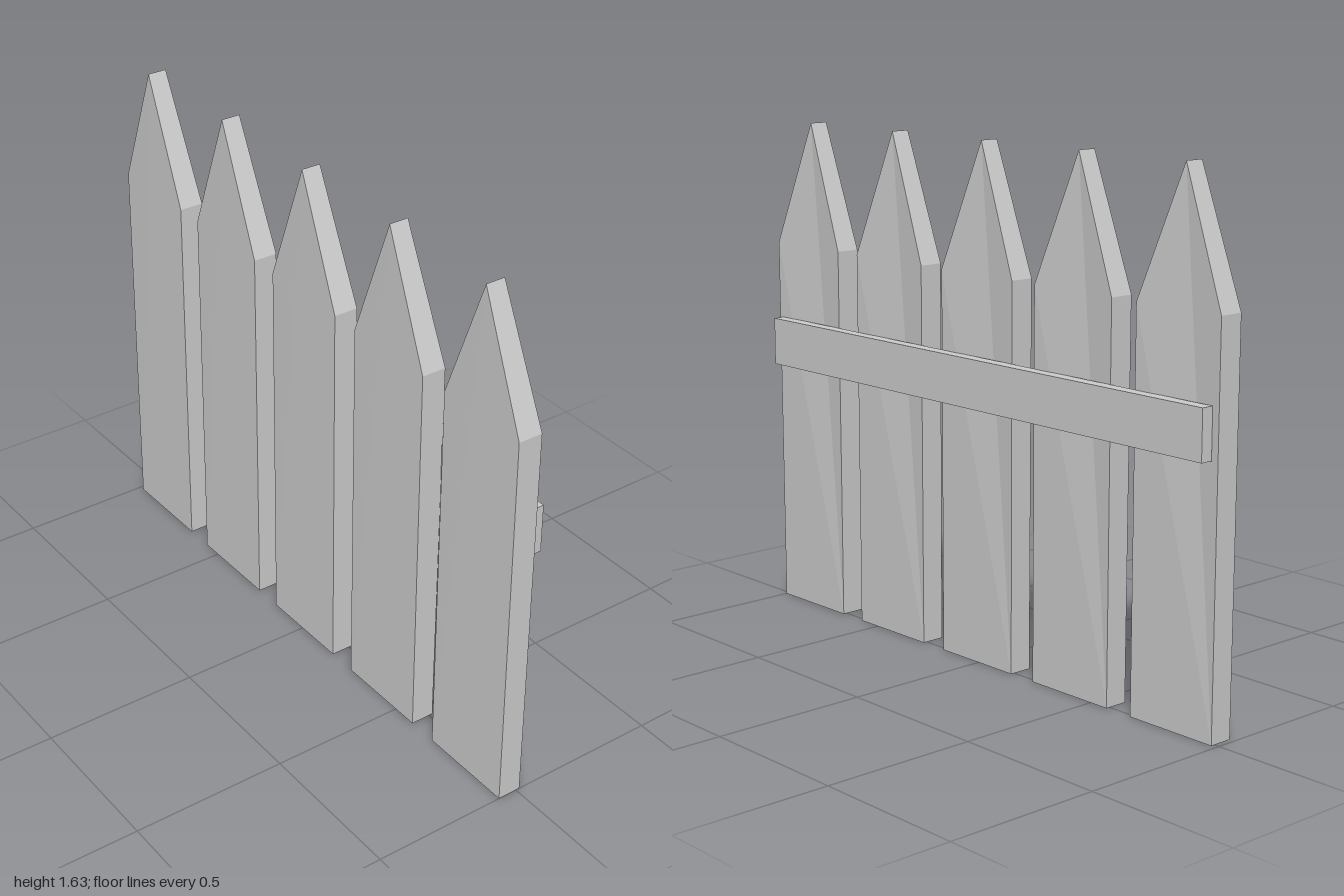
import * as THREE from 'three';

const material = new THREE.MeshStandardMaterial({ color: 0xcccccc, flatShading: true });

// Pointed board, leaning slightly sideways and backwards
function picketGeometry() {
  const outline = new THREE.Shape([
    [-0.151, 0], [0.168, 0], [0.151, 1.23], [-0.015, 1.635], [-0.168, 1.23],
  ].map(([x, y]) => new THREE.Vector2(x, y)));
  const geometry = new THREE.ExtrudeGeometry(outline, { depth: 1, bevelEnabled: false });

  // Set front and back depth by height: bottom, shoulder, tip
  const pos = geometry.attributes.position;
  for (let i = 0; i < pos.count; i++) {
    const y = pos.getY(i);
    const level = y < 0.5 ? 0 : y < 1.5 ? 1 : 2;
    const front = [0.064, 0.05, 0.048][level];
    const back = [-0.013, -0.03, -0.015][level];
    pos.setZ(i, pos.getZ(i) > 0.5 ? front : back);
  }
  geometry.computeVertexNormals();
  return geometry;
}

export function createModel() {
  const fence = new THREE.Group();
  fence.name = 'picketFence';

  // Five evenly spaced pickets
  const board = picketGeometry();
  for (let i = 0; i < 5; i++) {
    const picket = new THREE.Mesh(board, material);
    picket.name = `picket${i + 1}`;
    picket.position.x = (i - 2) * 0.416;
    fence.add(picket);
  }

  // Rail along the back
  const rail = new THREE.Mesh(new THREE.BoxGeometry(1.94, 0.155, 0.04), material);
  rail.name = 'backRail';
  rail.position.set(0, 0.9, -0.044);
  fence.add(rail);

  return fence;
}
